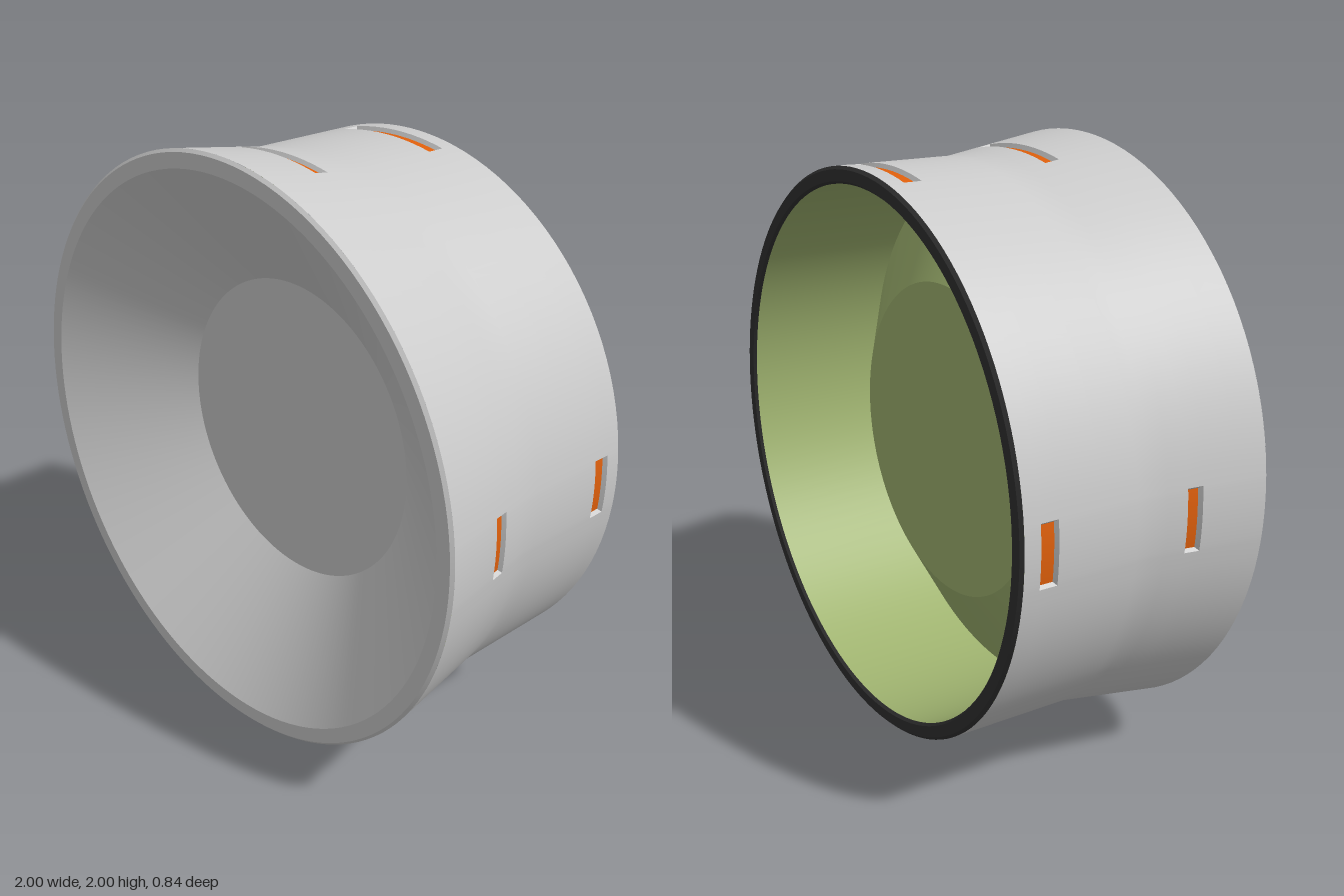
import * as THREE from 'three';

const paint = (color) => new THREE.MeshStandardMaterial({ color });
const SEG = 128;
const QUARTER = Math.PI / 2;

// Outer wall: straight barrel at the back, flaring towards the front
const wallRadius = (z) => (z < 0.03 ? 0.94 : 0.94 + (0.06 * (z - 0.03)) / 0.38);
const wallPoint = (t, z, inset = 0) => {
  const r = wallRadius(z) - inset;
  return [r * Math.sin(t), r * Math.cos(t), z];
};

// Slots: centre z and half width of each row, half angle for each quarter
const ROWS = [{ z: -0.325, hz: 0.03 }, { z: 0.172, hz: 0.025 }];
const halfAngle = (q) => (q % 2 === 0 ? 0.21 : 0.107);

function makeGeometry(positions, index, flat) {
  let g = new THREE.BufferGeometry();
  g.setAttribute('position', new THREE.Float32BufferAttribute(positions, 3));
  g.setIndex(index);
  if (flat) g = g.toNonIndexed();
  g.computeVertexNormals();
  return g;
}

// Curved outer skin with the slot cells left open
function outerSkin() {
  const angles = [];
  for (let q = 0; q < 4; q++) {
    const h = halfAngle(q);
    const gapEnd = QUARTER - halfAngle(q + 1);
    for (let i = 0; i < 12; i++) angles.push({ t: q * QUARTER - h + (2 * h * i) / 12, slot: true });
    for (let i = 0; i < 24; i++) angles.push({ t: q * QUARTER + h + ((gapEnd - h) * i) / 24, slot: false });
  }
  const zs = [-0.41, -0.355, -0.295, -0.15, -0.02, 0.03, 0.08, 0.147, 0.197, 0.3, 0.41];
  const inRow = (z) => ROWS.some((r) => Math.abs(z - r.z) < r.hz);
  const positions = [], index = [];
  const n = angles.length, m = zs.length;
  for (let i = 0; i < n; i++) {
    for (let j = 0; j < m; j++) {
      positions.push(...wallPoint(angles[i].t, zs[j]));
      if (j === m - 1 || (angles[i].slot && inRow((zs[j] + zs[j + 1]) / 2))) continue;
      const a = i * m + j, b = ((i + 1) % n) * m + j;
      index.push(a, a + 1, b, a + 1, b + 1, b);
    }
  }
  return makeGeometry(positions, index, false);
}

// Bevelled edge and floor of one recessed slot
const DEPTH = 0.013, BEVEL = 0.008, STEPS = 12;
function slotEdge(angle, h, row) {
  const ring = [];
  for (let i = 0; i <= STEPS; i++) ring.push([-1 + (2 * i) / STEPS, -1]);
  for (let i = STEPS; i >= 0; i--) ring.push([-1 + (2 * i) / STEPS, 1]);
  const positions = [], index = [];
  ring.forEach(([a, b], i) => {
    positions.push(...wallPoint(angle + a * h, row.z + b * row.hz));
    positions.push(...wallPoint(angle + a * (h - BEVEL), row.z + b * (row.hz - BEVEL), DEPTH));
    const o = 2 * i, p = 2 * ((i + 1) % ring.length);
    index.push(o, o + 1, p, o + 1, p + 1, p);
  });
  return makeGeometry(positions, index, true);
}

function slotFloor(angle, h, row) {
  const positions = [], index = [];
  for (let i = 0; i <= STEPS; i++) {
    const t = angle + (-1 + (2 * i) / STEPS) * (h - BEVEL);
    for (const s of [-1, 1]) positions.push(...wallPoint(t, row.z + s * (row.hz - BEVEL), DEPTH));
    const a = 2 * i;
    if (i < STEPS) index.push(a, a + 1, a + 2, a + 1, a + 3, a + 2);
  }
  return makeGeometry(positions, index, false);
}

export function createModel() {
  const model = new THREE.Group();
  model.name = 'flaredDrum';
  const body = new THREE.Group();
  body.name = 'drum';
  body.position.y = 1;
  model.add(body);

  const grey = paint(0xcccccc), green = paint(0xa0b470);
  const orange = paint(0xe0600c), dark = paint(0x303030);

  const add = (name, geometry, material, parent = body) => {
    const mesh = new THREE.Mesh(geometry, material);
    mesh.name = name;
    parent.add(mesh);
  };
  // Turned parts: each [radius, z] step is its own lathe, so edges stay sharp
  const turn = (name, points, material) => {
    const group = new THREE.Group();
    group.name = name;
    for (let i = 0; i < points.length - 1; i++) {
      const pair = [points[i], points[i + 1]].map(([r, z]) => new THREE.Vector2(r, z));
      add(name + 'Face', new THREE.LatheGeometry(pair, SEG).rotateX(Math.PI / 2), material, group);
    }
    body.add(group);
  };

  add('outerWall', outerSkin(), grey);
  turn('frontRim', [[1, 0.41], [0.99, 0.42], [0.94, 0.42]], grey);
  turn('frontBowl', [[0.94, 0.42], [0.525, 0.11], [0, 0.11]], grey);
  turn('backInterior', [[0, -0.11], [0.54, -0.11], [0.885, 0.1], [0.885, -0.41]], green);
  turn('backRim', [[0.885, -0.41], [0.893, -0.42], [0.93, -0.42], [0.94, -0.41]], dark);

  // Two rows of four slots
  for (const row of ROWS) {
    for (let q = 0; q < 4; q++) {
      add('slotEdge', slotEdge(q * QUARTER, halfAngle(q), row), grey);
      add('slotInlay', slotFloor(q * QUARTER, halfAngle(q), row), orange);
    }
  }
  return model;
}
